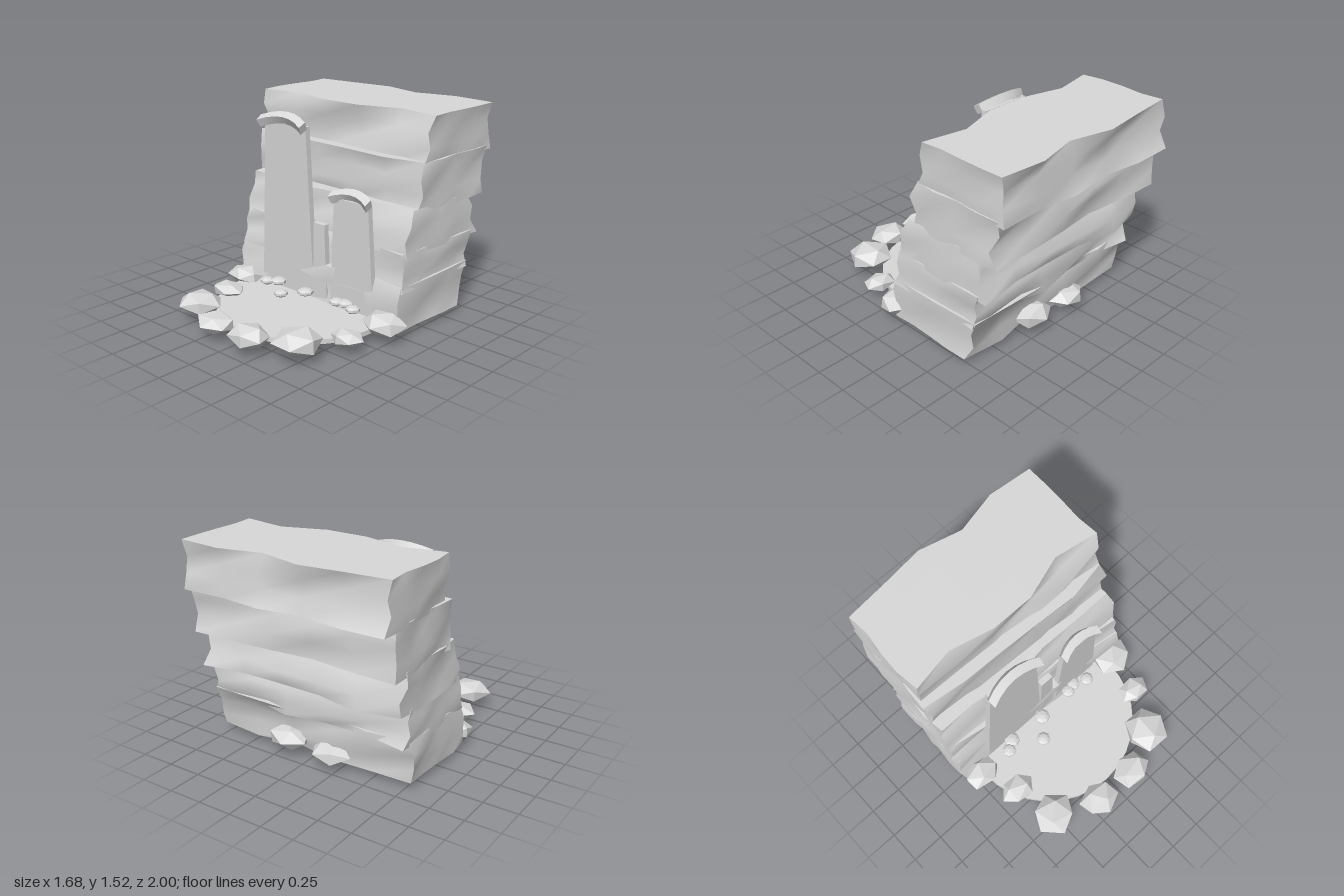
import * as THREE from 'three';

const stone = new THREE.MeshStandardMaterial({ color: 0xd9d9d9 });
stone.name = 'stone grey';
const facetedStone = stone.clone();
facetedStone.flatShading = true;

// repeatable noise in -1..1 taken from a position
function noise(x, y, z, seed) {
  const s = Math.sin(Math.round(x * 100) * 12.9898 + Math.round(y * 100) * 78.233 + Math.round(z * 100) * 37.719 + seed * 4.581) * 43758.5453;
  return (s - Math.floor(s)) * 2 - 1;
}

function add(group, name, geometry, material = stone) {
  const mesh = new THREE.Mesh(geometry, material);
  mesh.name = name;
  group.add(mesh);
  return mesh;
}

// a leaning, wavy slab of cliff; front and back depth are given at bottom and top
function cliffLayer([y0, y1, frontBottom, frontTop, backBottom, backTop], index, isTop) {
  const rim = { front: [-0.25, -0.31, -0.23, -0.23, -0.335, -0.28], back: [-0.925, -0.955, -0.99, -0.91, -0.985, -0.955] };
  const geo = new THREE.BoxGeometry(1, 1, 1, 5, 3, 4);
  const p = geo.attributes.position;
  for (let i = 0; i < p.count; i++) {
    const x = p.getX(i), y = p.getY(i), z = p.getZ(i);
    const t = y + 0.5, d = z + 0.5, col = Math.round((x + 0.5) * 5);
    let front = THREE.MathUtils.lerp(frontBottom, frontTop, t) + 0.03 * x + 0.036 * noise(x, y, 1, index);
    let back = THREE.MathUtils.lerp(backBottom, backTop, t) + 0.042 * noise(x, y, 2, index);
    if (isTop && t > 0.99) {
      front = rim.front[col];
      back = rim.back[col];
    }
    const edge = Math.abs(x) > 0.49 ? 0.018 * noise(x, y, z, index) : 0;
    p.setXYZ(i, -0.02 + x * 1.59 + edge, THREE.MathUtils.lerp(y0, y1, t), THREE.MathUtils.lerp(back, front, d));
  }
  geo.computeVertexNormals();
  return geo;
}

// a tapering, slightly leaning sheet of falling water
function fall(x0, x1, topX0, topX1, top, zBottom, zTop) {
  const geo = new THREE.BoxGeometry(1, 1, 0.044);
  const p = geo.attributes.position;
  for (let i = 0; i < p.count; i++) {
    const t = p.getY(i) + 0.5, s = p.getX(i) + 0.5;
    p.setXYZ(i,
      THREE.MathUtils.lerp(THREE.MathUtils.lerp(x0, x1, s), THREE.MathUtils.lerp(topX0, topX1, s), t),
      t * top,
      p.getZ(i) + THREE.MathUtils.lerp(zBottom, zTop, t));
  }
  geo.computeVertexNormals();
  return geo;
}

// square bar that arches up and back between its two ends
function lip(x0, x1, yEnd, yMid, zEnd, zMid) {
  const geo = new THREE.BoxGeometry(1, 0.064, 0.064, 6, 1, 1);
  geo.rotateX(0.5);
  const p = geo.attributes.position;
  for (let i = 0; i < p.count; i++) {
    const s = p.getX(i) * 2, arch = 1 - s * s;
    p.setXYZ(i,
      (x0 + x1) / 2 + s * ((x1 - x0) / 2 + p.getY(i) * 0.2),
      p.getY(i) + THREE.MathUtils.lerp(yEnd, yMid, arch),
      p.getZ(i) + THREE.MathUtils.lerp(zEnd, zMid, arch));
  }
  geo.computeVertexNormals();
  return geo;
}

// irregular faceted boulder
function boulder(seed) {
  const geo = new THREE.IcosahedronGeometry(1, 0);
  geo.rotateY(seed * 1.3);
  const p = geo.attributes.position, v = new THREE.Vector3();
  for (let i = 0; i < p.count; i++) {
    v.fromBufferAttribute(p, i);
    v.multiplyScalar(1.08 + 0.07 * noise(v.x, v.y, v.z, seed));
    p.setXYZ(i, v.x, v.y, v.z);
  }
  geo.computeVertexNormals();
  return geo;
}

export function createModel() {
  const model = new THREE.Group();
  model.name = 'cliffWaterfall';

  // cliff: y bottom, y top, front bottom/top, back bottom/top
  const layers = [
    [0.055, 0.38, 0.05, 0.02, -0.635, -0.705],
    [0.34, 0.61, 0.015, -0.03, -0.71, -0.725],
    [0.58, 0.895, -0.045, -0.09, -0.81, -0.75],
    [0.86, 1.21, -0.18, -0.18, -0.88, -0.88],
    [1.18, 1.52, -0.24, -0.28, -0.965, -0.945],
  ];
  const cliff = new THREE.Group();
  cliff.name = 'cliff';
  layers.forEach((l, i) => add(cliff, 'cliffLayer', cliffLayer(l, i + 1, i === layers.length - 1)));
  model.add(cliff);

  // pool
  add(model, 'pool', new THREE.CylinderGeometry(0.665, 0.665, 0.035, 32)).position.set(-0.02, 0.075, 0.127);

  // falls and the lips they pour over
  add(model, 'largeFall', fall(-0.565, -0.02, -0.49, -0.085, 1.37, 0.02, 0.043));
  add(model, 'smallFall', fall(0.13, 0.545, 0.185, 0.495, 0.91, 0.02, 0.04));
  add(model, 'middleFall', fall(-0.035, 0.105, -0.02, 0.085, 0.68, 0.022, 0.03));
  add(model, 'largeLip', lip(-0.505, -0.08, 1.366, 1.408, 0.095, 0.05));
  add(model, 'smallLip', lip(0.17, 0.505, 0.911, 0.945, 0.068, 0.025));

  // boulders around the pool and behind the cliff: x, z, half width, half height, half depth
  const boulders = [
    [-0.70, 0.11, 0.145, 0.066, 0.105], [-0.58, 0.39, 0.135, 0.058, 0.105],
    [-0.51, 0.72, 0.155, 0.076, 0.15], [-0.18, 0.865, 0.145, 0.064, 0.12],
    [0.16, 0.87, 0.15, 0.073, 0.12], [0.46, 0.72, 0.16, 0.082, 0.165],
    [0.63, 0.42, 0.115, 0.053, 0.09], [0.69, 0.11, 0.155, 0.076, 0.135],
    [0.17, -0.665, 0.15, 0.08, 0.13], [-0.19, -0.67, 0.145, 0.068, 0.12],
  ];
  boulders.forEach(([x, z, w, h, d], i) => {
    const rock = add(model, 'boulder', boulder(i + 1), facetedStone);
    rock.scale.set(w, h, d);
    rock.position.set(x, 0.052 + h, z);
  });

  // pebbles at the foot of the falls
  const pebbleGeo = new THREE.SphereGeometry(1, 8, 5);
  const pebbles = [[-0.43, 0.13], [-0.36, 0.08], [-0.175, 0.24], [-0.06, 0.1], [0.235, 0.085], [0.3, 0.06], [0.41, 0.11]];
  pebbles.forEach(([x, z], i) => {
    const pebble = add(model, 'pebble', pebbleGeo, facetedStone);
    const r = 0.055 + 0.008 * (i % 2);
    pebble.scale.set(r, 0.028, r);
    pebble.position.set(x, 0.145, z);
  });

  return model;
}
